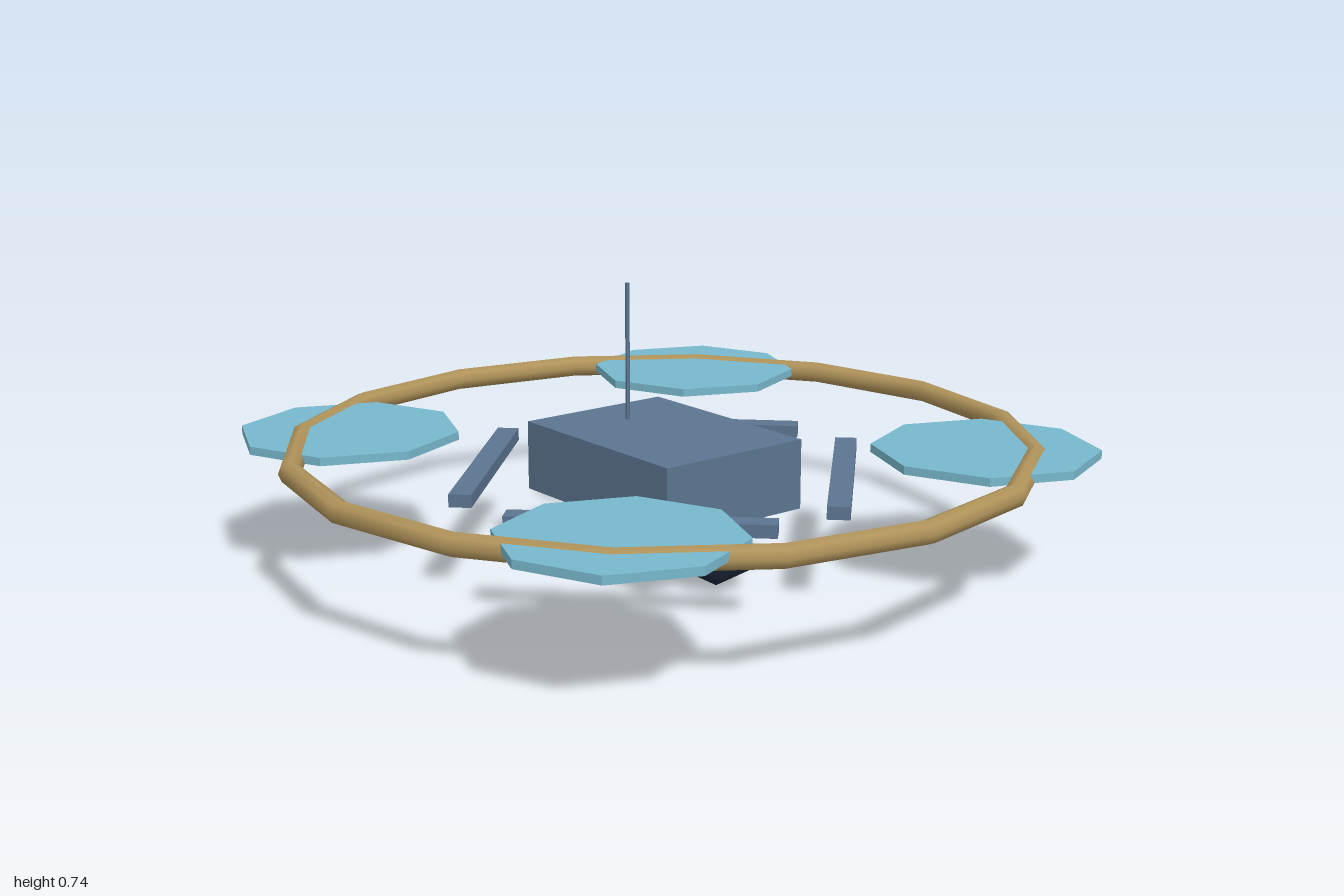
import * as THREE from 'three';

export function createModel() {
  const model = new THREE.Group();
  model.name = 'quadcopter';

  const paint = (name, color, flat = true) => {
    const m = new THREE.MeshStandardMaterial({ color, flatShading: flat });
    m.name = name;
    return m;
  };
  const slate = paint('slate blue', 0x5b7590);
  const aqua = paint('aqua', 0x78b8cc);
  const brass = paint('brass', 0xb0935a, false);
  const navy = paint('dark navy', 0x1e293b, false);

  const add = (name, geometry, material, x, y, z) => {
    const mesh = new THREE.Mesh(geometry, material);
    mesh.name = name;
    mesh.position.set(x, y, z);
    model.add(mesh);
    return mesh;
  };

  // Central body
  add('body', new THREE.BoxGeometry(0.444, 0.186, 0.594), slate, 0, 0.276, 0);

  // Camera ball under the nose, sunk into the body
  add('camera', new THREE.SphereGeometry(0.104, 6, 3), navy, 0, 0.104, 0.223);

  // Antenna towards the back
  add('antenna', new THREE.CylinderGeometry(0.006, 0.006, 0.37, 6), slate, 0, 0.555, -0.148);

  // Guard ring around the rotors
  const ring = add('guardRing', new THREE.TorusGeometry(0.97, 0.03, 8, 16), brass, 0, 0.328, 0);
  ring.rotation.x = Math.PI / 2;

  // Four diagonal arms and octagonal rotor discs
  const armShape = new THREE.BoxGeometry(0.667, 0.034, 0.059);
  const rotorShape = new THREE.CylinderGeometry(0.296, 0.296, 0.022, 8);
  for (const sx of [-1, 1]) {
    for (const sz of [-1, 1]) {
      const place = (sz > 0 ? 'front' : 'back') + (sx > 0 ? 'Left' : 'Right');
      const arm = add(place + 'Arm', armShape, slate, sx * 0.335, 0.258, sz * 0.335);
      arm.rotation.y = sx * sz * Math.PI / 4;
      add(place + 'Rotor', rotorShape, aqua, sx * 0.594, 0.338, sz * 0.594);
    }
  }
  return model;
}
